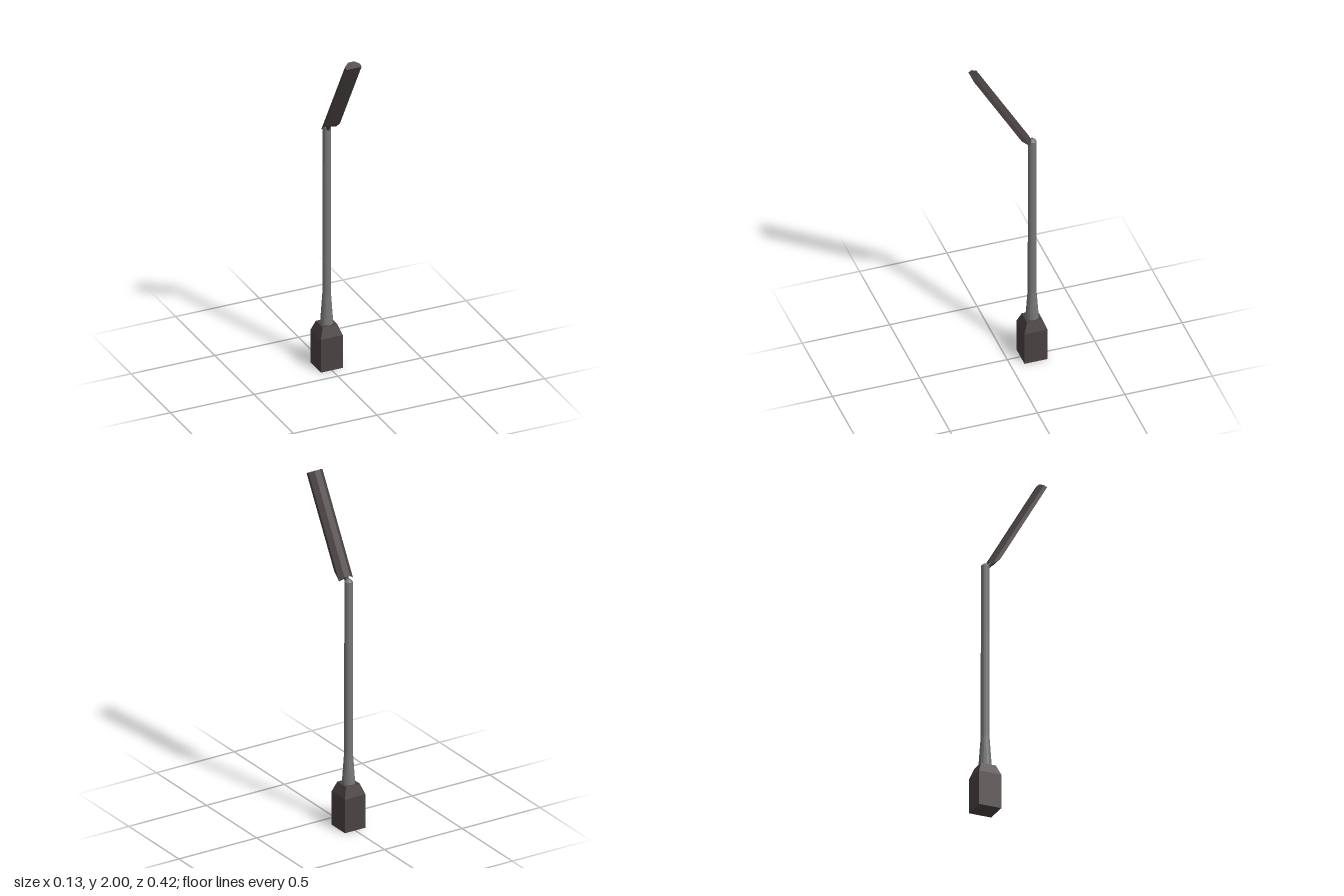
import * as THREE from 'three';

export function createModel() {
  const model = new THREE.Group();
  const darkMetal = new THREE.MeshStandardMaterial({ color: 0x4a4242, flatShading: true });
  darkMetal.name = 'darkMetal';
  const greyMetal = new THREE.MeshStandardMaterial({ color: 0x777777, flatShading: true });
  greyMetal.name = 'greyMetal';
  const axisZ = -0.142;

  const add = (parent, name, geometry, material, x, y, z) => {
    const mesh = new THREE.Mesh(geometry, material);
    mesh.name = name;
    mesh.position.set(x, y, z);
    parent.add(mesh);
    return mesh;
  };

  // Square foot with a tapered shoulder
  add(model, 'base', new THREE.BoxGeometry(0.132, 0.2, 0.132), darkMetal, 0, 0.1, axisZ);
  const shoulder = new THREE.CylinderGeometry(0.044 * Math.SQRT2, 0.066 * Math.SQRT2, 0.06, 4);
  shoulder.rotateY(Math.PI / 4);
  add(model, 'baseShoulder', shoulder, darkMetal, 0, 0.23, axisZ);

  // Pole: flared at the foot, bevelled at the tip
  const profile = [
    [0.037, 0.255], [0.024, 0.44], [0.023, 1.458], [0.01, 1.472], [0, 1.472],
  ].map(([r, y]) => new THREE.Vector2(r, y));
  add(model, 'pole', new THREE.LatheGeometry(profile, 14), greyMetal, 0, 0, axisZ);

  // Lamp head frame: local z runs along the head, local y to its back
  const head = new THREE.Group();
  head.name = 'lampHead';
  head.position.set(0, 1.979, 0.207);
  head.rotation.x = -Math.PI / 3;
  model.add(head);

  // Housing: flat underside, chamfered back, slanted lower end
  const section = new THREE.Shape([
    [-0.045, 0], [0.045, 0], [0.045, 0.021], [0.018, 0.043], [-0.018, 0.043], [-0.045, 0.021],
  ].map(([x, y]) => new THREE.Vector2(x, y)));
  const housing = new THREE.ExtrudeGeometry(section, { depth: 1, bevelEnabled: false });
  const p = housing.attributes.position;
  for (let i = 0; i < p.count; i++) {
    const t = p.getY(i);
    const length = t < 0.01 ? 0.552 : t < 0.03 ? 0.612 : 0.6;
    p.setZ(i, (p.getZ(i) - 1) * length);
  }
  housing.computeVertexNormals();
  add(head, 'lampHousing', housing, darkMetal, 0, 0, 0);

  // Joint between housing and pole
  const neck = new THREE.CylinderGeometry(0.013, 0.013, 0.05, 8);
  neck.rotateX(Math.PI / 2);
  add(head, 'neck', neck, darkMetal, 0, 0.028, -0.603);

  return model;
}
